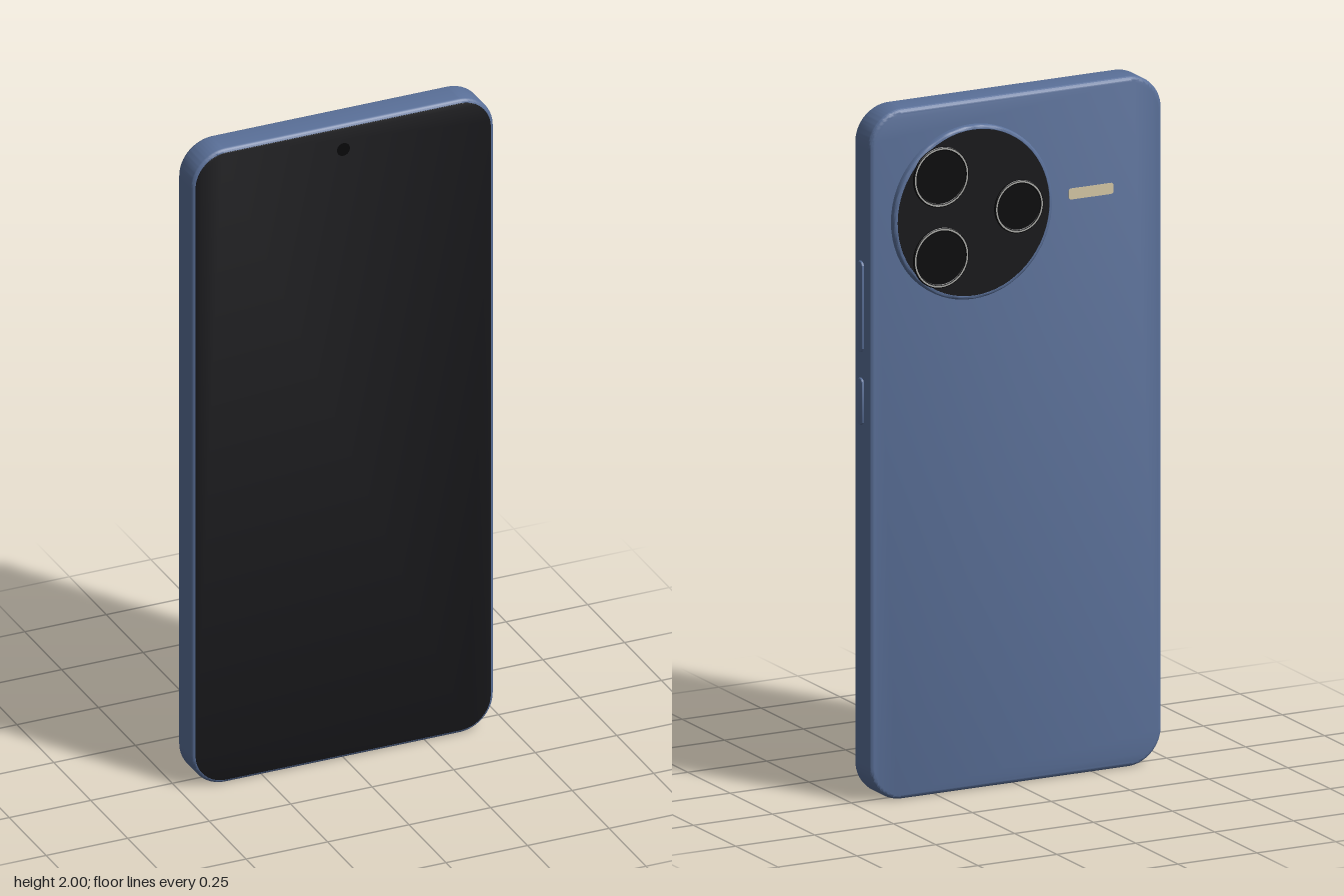
import * as THREE from 'three';
import { toCreasedNormals } from 'three/addons/utils/BufferGeometryUtils.js';

const material = (color) => new THREE.MeshStandardMaterial({ color });
const blue = material(0x5a7099);
const black = material(0x17171a);
const darkest = material(0x08080a);
const silver = material(0xa8a8a4);
const cream = material(0xd6c8a6);

// Rounded slab centred on x and y, running from z = 0 to z = depth
function slab(w, h, r, depth, bevel = 0) {
  const x = w / 2, y = h / 2;
  const s = new THREE.Shape();
  s.moveTo(-x + r, -y);
  s.lineTo(x - r, -y);
  s.absarc(x - r, -y + r, r, -Math.PI / 2, 0);
  s.lineTo(x, y - r);
  s.absarc(x - r, y - r, r, 0, Math.PI / 2);
  s.lineTo(-x + r, y);
  s.absarc(-x + r, y - r, r, Math.PI / 2, Math.PI);
  s.lineTo(-x, -y + r);
  s.absarc(-x + r, -y + r, r, Math.PI, Math.PI * 1.5);
  const geometry = new THREE.ExtrudeGeometry(s, {
    depth: depth - 2 * bevel, curveSegments: 16, bevelEnabled: bevel > 0,
    bevelThickness: bevel, bevelSize: bevel, bevelOffset: -bevel, bevelSegments: 5,
  });
  geometry.translate(0, 0, bevel);
  return toCreasedNormals(geometry, 0.6);
}

// Round part turned from [radius, height] points, its axis pointing to the back
function turned(points) {
  const geometry = new THREE.LatheGeometry(points.map(([r, h]) => new THREE.Vector2(r, h)), 64);
  return toCreasedNormals(geometry.rotateX(-Math.PI / 2), 0.6);
}

export function createModel() {
  const phone = new THREE.Group();
  phone.name = 'phone';
  const add = (name, geometry, mat, x, y, z, parent = phone) => {
    const mesh = new THREE.Mesh(geometry, mat);
    mesh.name = name;
    mesh.position.set(x, y, z);
    parent.add(mesh);
    return mesh;
  };
  const cx = -0.0035, midZ = 0.0125, backZ = -0.037;

  // Body and display
  add('body', slab(0.927, 2, 0.105, 0.0985, 0.014), blue, cx, 1, backZ);
  add('screen', slab(0.905, 1.978, 0.094, 0.006, 0.001), black, cx, 1, 0.0565);
  add('frontCamera', new THREE.CircleGeometry(0.02, 32), darkest, cx, 1.922, 0.0628);

  // Side buttons
  for (const [name, y, length] of [['volumeButton', 1.43, 0.264], ['powerButton', 1.155, 0.136]]) {
    const geometry = slab(0.032, length, 0.016, 0.014, 0.003).rotateY(Math.PI / 2);
    add(name, geometry, blue, 0.453, y, midZ + 0.002);
  }

  // Round camera island: stepped rim with a dark glass plate
  const island = new THREE.Group();
  island.name = 'cameraIsland';
  island.position.set(0.142, 1.677, backZ);
  phone.add(island);
  add('islandRim', turned([
    [0.252, -0.004], [0.252, 0.012], [0.2505, 0.016], [0.247, 0.0185],
    [0.243, 0.0195], [0.241, 0.0195], [0.24, 0.017], [0, 0.017],
  ]), blue, 0, 0, 0, island);
  add('islandGlass', turned([[0.2405, 0.015], [0.2405, 0.019], [0, 0.019]]), black, 0, 0, 0, island);

  // Lenses: dark barrel, thin metal ring and glass
  for (const [x, y, r] of [[0.105, 0.117, 0.0875], [0.105, -0.117, 0.0875], [-0.142, 0, 0.077]]) {
    const lens = new THREE.Group();
    lens.name = 'lens';
    lens.position.set(x, y, 0);
    island.add(lens);
    add('lensBarrel', turned([
      [r, 0.017], [r, 0.0235], [r - 0.002, 0.025], [r - 0.009, 0.025], [r - 0.011, 0.0235], [0, 0.0235],
    ]), darkest, 0, 0, 0, lens);
    add('lensRing', new THREE.RingGeometry(r - 0.0075, r - 0.003, 64).rotateY(Math.PI), silver, 0, 0, -0.0254, lens);
  }

  // Flash bar on the back
  add('flashBar', slab(0.142, 0.032, 0.008, 0.004), cream, -0.24, 1.685, backZ - 0.0015);

  // Charging port and speaker holes in the bottom edge
  add('chargingPort', slab(0.11, 0.036, 0.018, 0.004).rotateX(Math.PI / 2), darkest, cx, 0.0035, midZ);
  const hole = new THREE.CylinderGeometry(0.006, 0.006, 0.004, 16);
  for (const side of [-1, 1]) {
    for (let i = 0; i < 6; i++) {
      add('speakerHole', hole, darkest, cx + side * (0.105 + i * 0.024), 0.0015, midZ);
    }
  }
  return phone;
}
